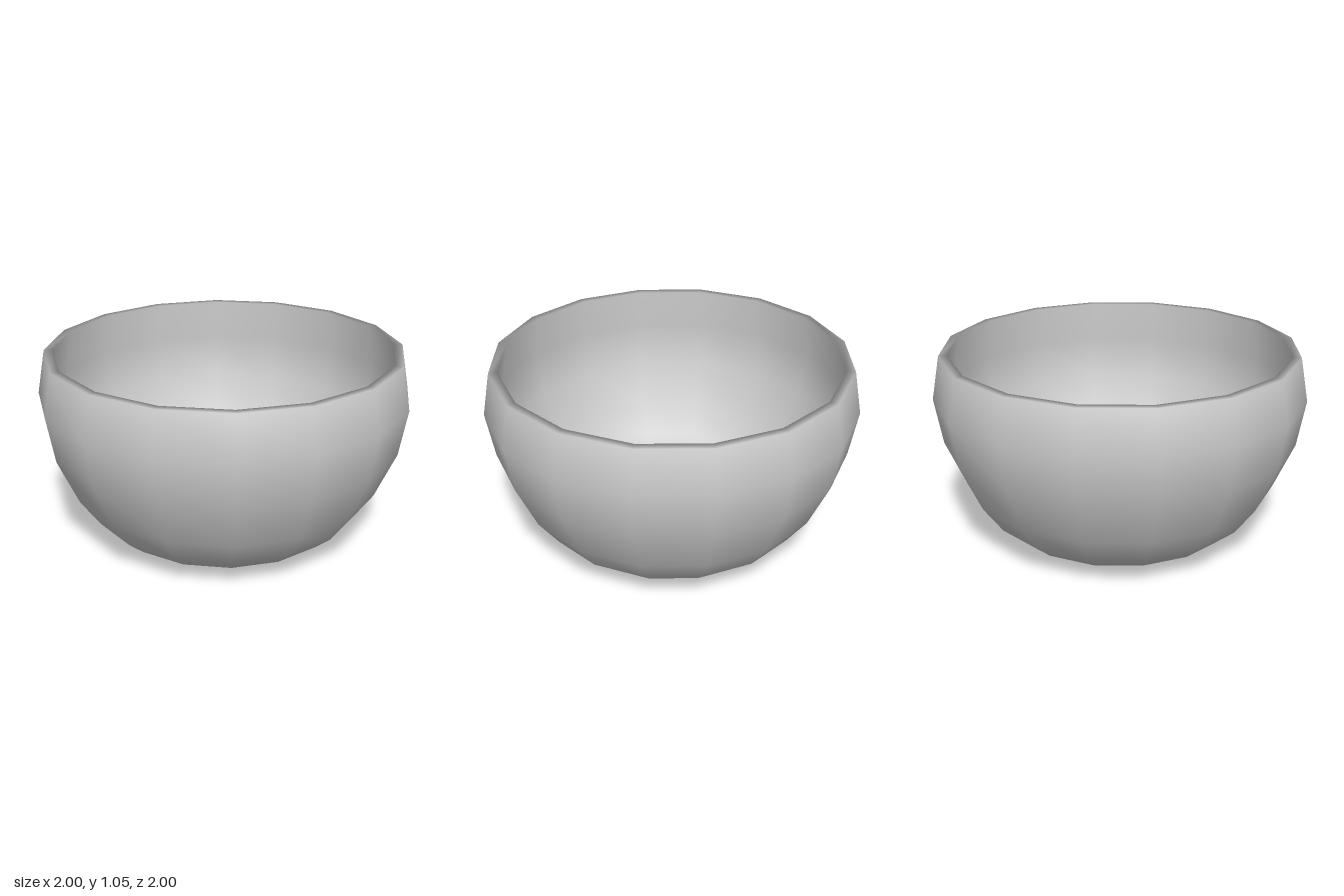
import * as THREE from 'three';

export function createModel() {
  const group = new THREE.Group();
  group.name = 'bowl';

  // One closed wall profile [radius, height]: base, outside, flat rim, inside, floor
  const profile = [
    [0, 0], [0.47, 0.005], [0.64, 0.08], [0.735, 0.16], [0.845, 0.315],
    [0.957, 0.57], [1, 0.82], [0.957, 1.055],
    [0.91, 1.055], [0.954, 0.82], [0.912, 0.582], [0.806, 0.338],
    [0.702, 0.192], [0.615, 0.12], [0.46, 0.05], [0, 0.045],
  ].map(([r, y]) => new THREE.Vector2(r, y));

  // Sixteen-sided smooth-shaded shell
  const shell = new THREE.Mesh(
    new THREE.LatheGeometry(profile, 16),
    new THREE.MeshStandardMaterial({ color: 0xcccccc })
  );
  shell.name = 'bowlShell';
  group.add(shell);

  return group;
}
